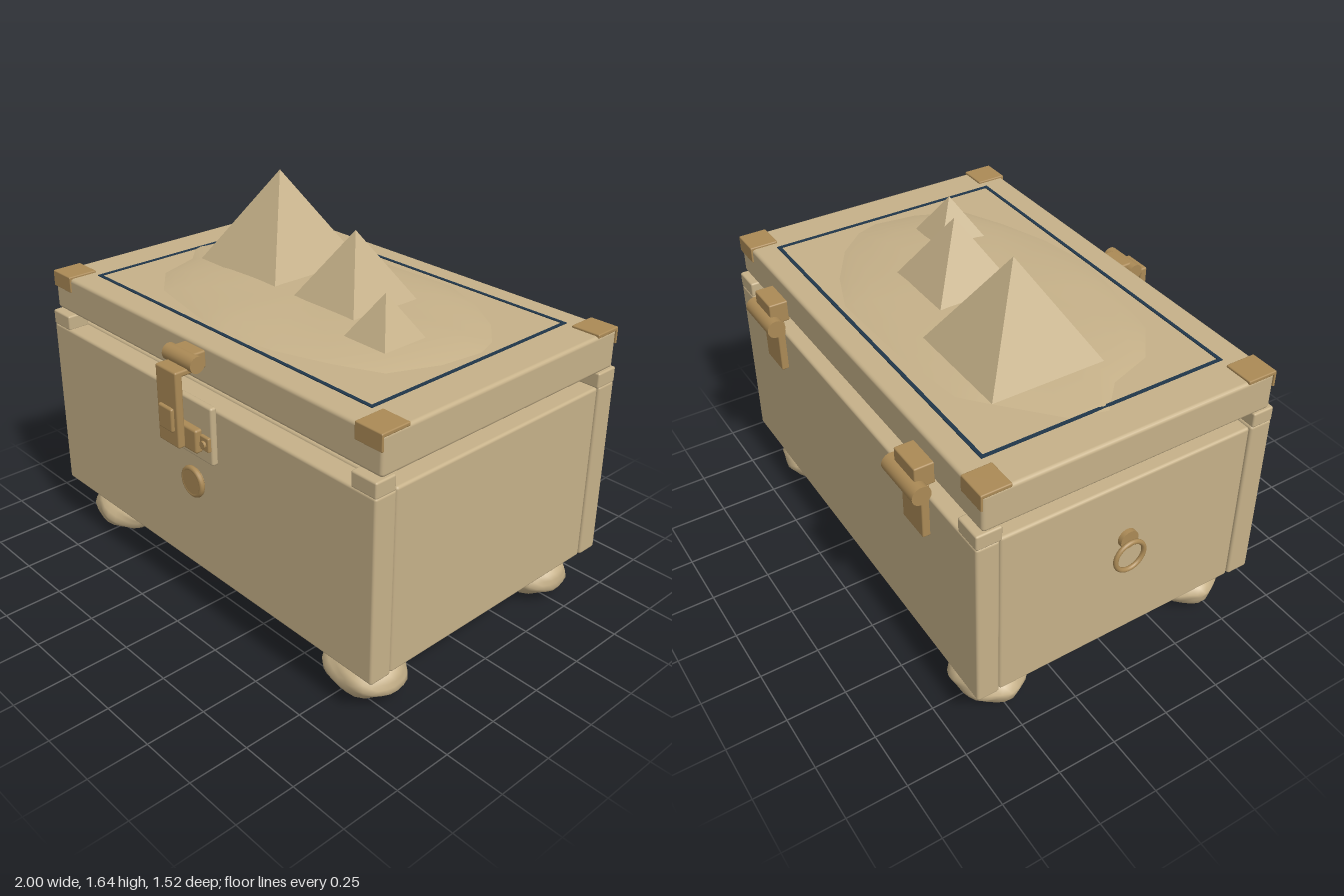
import * as THREE from 'three';
import { mergeVertices } from 'three/addons/utils/BufferGeometryUtils.js';
import { RoundedBoxGeometry } from 'three/addons/geometries/RoundedBoxGeometry.js';

const material = (name, color) => {
  const m = new THREE.MeshStandardMaterial({ color });
  m.name = name;
  return m;
};

export function createModel() {
  const group = new THREE.Group();
  const sand = material('sandstone', 0xc6b189);
  const brass = material('brass', 0xab8a56);
  const navy = material('navy', 0x20364a);

  const add = (name, geometry, mat, x = 0, y = 0, z = 0) => {
    const mesh = new THREE.Mesh(geometry, mat);
    mesh.name = name;
    mesh.position.set(x, y, z);
    group.add(mesh);
    return mesh;
  };
  // box from its extents, with optionally rounded edges
  const box = (name, mat, x0, x1, y0, y1, z0, z1, r = 0) => {
    const s = [x1 - x0, y1 - y0, z1 - z0];
    const g = r ? new RoundedBoxGeometry(...s, 2, r) : new THREE.BoxGeometry(...s);
    return add(name, g, mat, (x0 + x1) / 2, (y0 + y1) / 2, (z0 + z1) / 2);
  };
  const rod = (name, mat, r, length, axis, x, y, z) => {
    const g = new THREE.CylinderGeometry(r, r, length, 24);
    if (axis === 'x') g.rotateZ(Math.PI / 2);
    if (axis === 'z') g.rotateX(Math.PI / 2);
    return add(name, g, mat, x, y, z);
  };

  // chest body: front and back slabs with slightly inset sides between
  box('frontPanel', sand, -0.965, 0.995, 0.22, 0.99, 0.53, 0.63, 0.012);
  box('backPanel', sand, -0.965, 0.995, 0.22, 0.99, -0.675, -0.58, 0.012);
  box('sidePanels', sand, -0.96, 0.99, 0.22, 0.99, -0.577, 0.527, 0.012);
  box('basePlate', sand, -0.885, 0.91, 0.19, 0.24, -0.58, 0.53);

  // dark seam between body and lid
  box('seam', navy, -0.85, 0.875, 0.98, 1.065, -0.565, 0.515);
  for (const [x0, x1] of [[-0.965, -0.845], [0.875, 0.995]])
    for (const [z0, z1] of [[0.535, 0.63], [-0.675, -0.57]])
      box('cornerBlock', sand, x0, x1, 0.985, 1.05, z0, z1, 0.008);

  // lid, inlaid border and brass corners
  box('lid', sand, -0.965, 0.995, 1.055, 1.215, -0.65, 0.605, 0.015);
  const [bx0, bx1, bz0, bz1, bw] = [-0.802, 0.835, -0.553, 0.497, 0.015];
  for (const z of [bz0, bz1 - bw]) box('borderLong', navy, bx0, bx1, 1.211, 1.218, z, z + bw);
  for (const x of [bx0, bx1 - bw])
    box('borderShort', navy, x, x + bw, 1.211, 1.218, bz0 + bw, bz1 - bw);
  for (const [x0, x1] of [[-0.967, -0.84], [0.87, 0.997]])
    for (const [z0, z1, f] of [[0.48, 0.611, 0.601], [-0.657, -0.535, -0.657]]) {
      box('cornerCap', brass, x0, x1, 1.207, 1.224, z0, z1, 0.005);
      box('cornerFlange', brass, x0, x1, 1.155, 1.22, f, f + 0.01, 0.003);
    }

  // sand mound: an uneven outline carried inward in rising rings
  const outline = [[-.845, -.04], [-.8, -.19], [-.56, -.4], [-.48, -.465], [-.13, -.515], [.28, -.53],
    [.48, -.455], [.67, -.335], [.78, -.21], [.815, -.11], [.79, .08], [.7, .285], [.51, .375],
    [.28, .455], [.015, .5], [-.18, .465], [-.495, .4], [-.655, .275], [-.72, .08]];
  const scales = [1, 0.97, 0.9, 0.78, 0.6, 0.4, 0.2];
  const n = outline.length, positions = [], indices = [];
  scales.forEach((s, ring) => outline.forEach(([x, z]) => {
    const ripple = ring > 1 ? 0.004 * Math.sin(x * 9 + z * 5) * s : 0;
    positions.push(x * s, 1.21 + 0.045 * (1 - s ** 4) + ripple, z * s);
  }));
  positions.push(0, 1.256, 0);
  const centre = scales.length * n;
  for (let r = 0; r < scales.length; r++)
    for (let i = 0; i < n; i++) {
      const a = r * n + i, b = r * n + (i + 1) % n;
      if (r === scales.length - 1) indices.push(a, centre, b);
      else indices.push(a, a + n, b, b, a + n, b + n);
    }
  // the outline runs clockwise from above, so flip each triangle to face up
  for (let i = 0; i < indices.length; i += 3)
    [indices[i + 1], indices[i + 2]] = [indices[i + 2], indices[i + 1]];
  const mound = new THREE.BufferGeometry();
  mound.setAttribute('position', new THREE.Float32BufferAttribute(positions, 3));
  // settle the winding by the sign of a central triangle
  const [p, q, t] = indices.slice(-3).map(i => positions.slice(i * 3, i * 3 + 3));
  const up = (q[2] - p[2]) * (t[0] - p[0]) - (q[0] - p[0]) * (t[2] - p[2]);
  if (up < 0) indices.reverse();
  mound.setIndex(indices);
  mound.computeVertexNormals();
  add('sandMound', mound, sand);

  // three pyramids
  for (const [x, z, half, top] of [[-.365, -.145, .241, 1.642], [.163, -.072, .174, 1.53], [.505, .105, .106, 1.42]]) {
    const h = top - 1.247;
    const g = new THREE.ConeGeometry(half * Math.SQRT2, h, 4, 1).rotateY(Math.PI / 4).toNonIndexed();
    g.computeVertexNormals();
    add('pyramid', g, sand, x, 1.247 + h / 2, z);
  }

  // boulder feet, gently lumpy
  const boulder = (seed) => {
    let g = new THREE.IcosahedronGeometry(1, 4);
    g.deleteAttribute('normal');
    g.deleteAttribute('uv');
    g = mergeVertices(g, 1e-4);
    const pos = g.attributes.position, v = new THREE.Vector3();
    for (let i = 0; i < pos.count; i++) {
      v.fromBufferAttribute(pos, i);
      const k = 0.97 + 0.04 * Math.sin(5 * v.x + seed) * Math.cos(6 * v.z - seed)
        + 0.03 * Math.sin(8 * v.y + 7 * v.x + 2 * seed);
      v.multiplyScalar(k);
      pos.setXYZ(i, v.x * 0.178, v.y * 0.1, v.z * 0.15);
    }
    g.computeVertexNormals();
    g.computeBoundingBox();
    return g.translate(0, -g.boundingBox.min.y, 0);
  };
  [[-.755, .455], [.79, .455], [-.755, -.505], [.79, -.505]].forEach(([x, z], i) =>
    add('boulderFoot', boulder(i * 1.7), sand, x, 0.004, z));

  // front latch
  box('latchPlate', sand, -0.135, 0.16, 0.76, 1.005, 0.625, 0.655, 0.01);
  rod('latchBarrel', brass, 0.034, 0.175, 'x', 0.0125, 1.165, 0.66);
  box('latchMount', brass, -0.05, 0.075, 1.13, 1.2, 0.6, 0.66, 0.008);
  box('latchArm', brass, -0.05, 0.075, 1.125, 1.15, 0.66, 0.745, 0.008);
  box('latchStrap', brass, -0.05, 0.075, 0.835, 1.15, 0.712, 0.745, 0.008);
  box('latchTongue', brass, -0.03, 0.055, 0.9, 0.998, 0.735, 0.758, 0.008);
  box('latchCatch', brass, -0.075, 0.1, 0.8, 0.9, 0.65, 0.685, 0.01);
  for (const x of [-0.1, 0.127]) {
    box('catchEar', brass, x - 0.027, x + 0.027, 0.82, 0.882, 0.65, 0.668, 0.006);
    rod('catchRivet', brass, 0.015, 0.012, 'z', x, 0.85, 0.672);
  }

  // round button on the front
  rod('button', brass, 0.058, 0.03, 'z', 0.0125, 0.63, 0.64);
  add('buttonRim', new THREE.TorusGeometry(0.056, 0.012, 10, 32), brass, 0.0125, 0.63, 0.644);

  // rear hinges
  for (const x of [-0.58, 0.615]) {
    rod('hingeBarrel', brass, 0.039, 0.22, 'x', x, 1.045, -0.722);
    box('hingeLidLeaf', brass, x - 0.073, x + 0.073, 1.045, 1.138, -0.728, -0.645, 0.006);
    box('hingeBodyLeaf', brass, x - 0.073, x + 0.073, 0.81, 1.045, -0.705, -0.67, 0.006);
  }

  // ring pull on the right-hand side
  rod('ringMount', brass, 0.04, 0.02, 'x', -0.972, 0.72, 0.03 - 0.06);
  const ring = new THREE.TorusGeometry(0.065, 0.01, 10, 32).rotateY(Math.PI / 2);
  add('pullRing', ring, brass, -0.99, 0.647, -0.03);

  return group;
}
